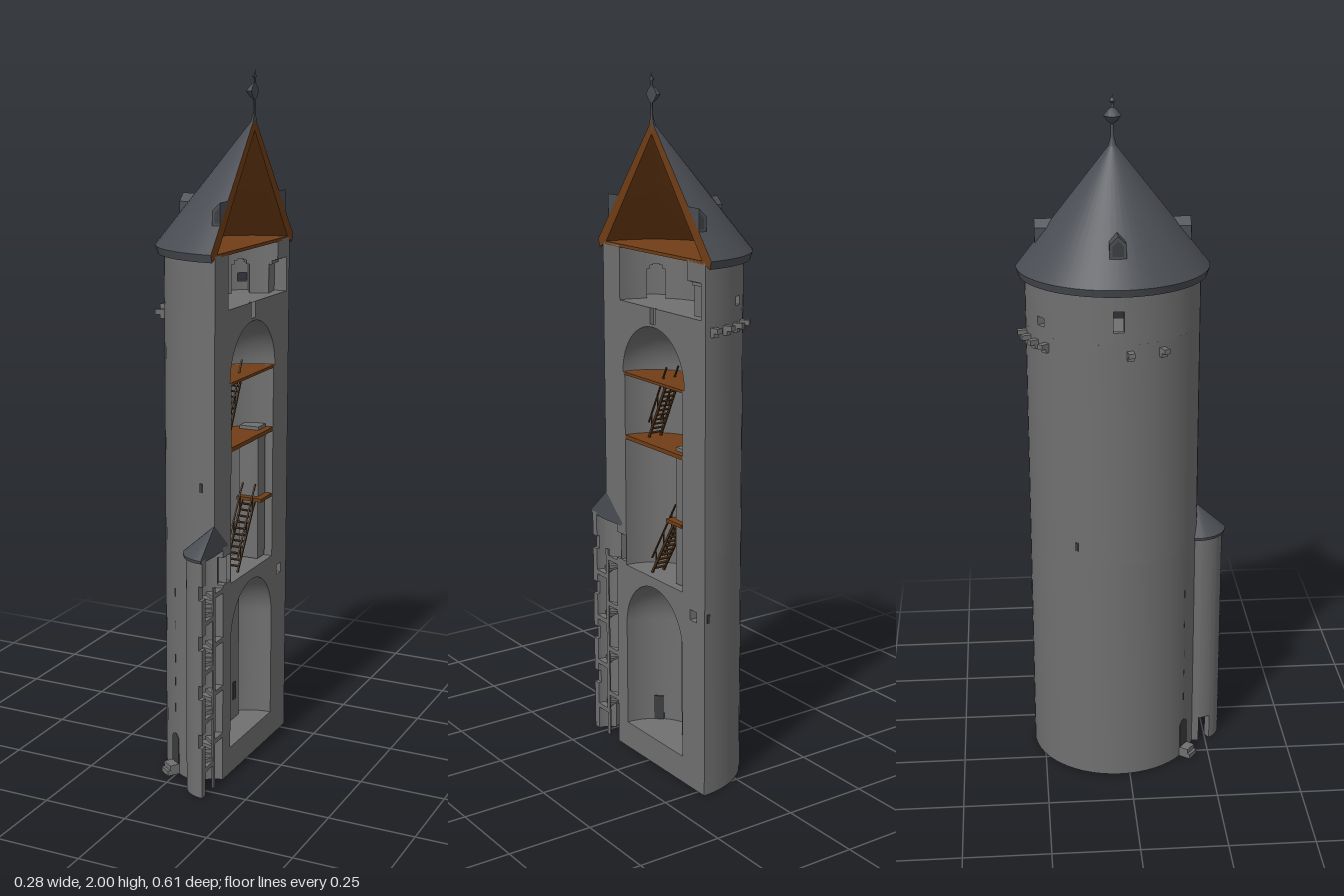
import * as THREE from 'three';
import { toCreasedNormals } from 'three/addons/utils/BufferGeometryUtils.js';

const mat = (color) => new THREE.MeshStandardMaterial({ color, side: THREE.DoubleSide });
const stone = mat(0x707070), slate = mat(0x4a4d53), wood = mat(0x703e16), darkWood = mat(0x4a3018), dark = mat(0x3c3d3f);
const PI = Math.PI, R = 0.25, rad = (d) => d * PI / 180;
const V = (x, y) => new THREE.Vector2(x, y);

export function createModel() {
  const model = new THREE.Group();
  model.name = 'cutawayTower';
  model.position.set(0.137, 0, -0.03); // tower axis lies on the cut plane

  const add = (name, geo, m, parent = model) => {
    const mesh = new THREE.Mesh(geo, m);
    mesh.name = name;
    parent.add(mesh);
    return mesh;
  };
  const box = (name, w, h, d, x, y, z, m = stone, parent = model) => {
    const b = add(name, new THREE.BoxGeometry(w, h, d), m, parent);
    b.position.set(x, y, z);
    return b;
  };
  // angle t runs from the front (+z) round through -x to the back
  const place = (o, t, r, y) => {
    o.position.set(-r * Math.sin(t), y, r * Math.cos(t));
    o.rotation.y = -t;
    return o;
  };
  const arc = (r, y0, h) => Array.from({ length: 17 }, (_, i) => {
    const a = i / 16 * PI / 2;
    return V(i === 16 ? 0 : r * Math.cos(a), y0 + h * Math.sin(a));
  });
  // half surface of revolution; profile upward faces out, downward faces in
  const half = (name, pts, m, parent = model, segs = 28) =>
    add(name, toCreasedNormals(new THREE.LatheGeometry(pts, segs, PI, PI * segs / 28), 0.5), m, parent);
  const mirrored = (pts) => [...pts, ...pts.slice().reverse().map((p) => V(-p.x, p.y))];
  const cutFace = (name, outer, holes, m, parent = model) => {
    const s = new THREE.Shape(outer);
    holes.forEach((h) => s.holes.push(new THREE.Path(h)));
    return add(name, new THREE.ShapeGeometry(s).rotateY(PI / 2), m, parent);
  };
  const halfSolid = (name, pts, m, parent = model) => {
    half(name, pts, m, parent);
    cutFace(name + 'Cut', mirrored(pts), [], m, parent);
  };
  const sector = (name, r0, r1, y0, y1, a0, a1, m, parent) => {
    const n = Math.max(1, Math.ceil((a1 - a0) / (PI / 28))), pts = [];
    const p = (r, a) => V(-r * Math.sin(a), -r * Math.cos(a));
    for (let i = 0; i <= n; i++) pts.push(p(r1, a0 + (a1 - a0) * i / n));
    if (r0 === 0) pts.push(V(0, 0));
    else for (let i = n; i >= 0; i--) pts.push(p(r0, a0 + (a1 - a0) * i / n));
    const g = new THREE.ExtrudeGeometry(new THREE.Shape(pts), { depth: y1 - y0, bevelEnabled: false });
    g.rotateX(-PI / 2).translate(0, y0, 0);
    return add(name, toCreasedNormals(g, 0.5), m, parent);
  };
  // curved half wall with columns of openings: [angle, halfAngle, [[y0, y1], ...]]
  const wall = (name, r0, r1, y0, y1, openings, parent) => {
    let a = 0;
    for (const [t, w, spans] of openings) {
      const s = Math.max(0, t - w), e = Math.min(PI, t + w);
      if (e - s < 0.001) continue;
      if (s > a + 0.001) sector(name, r0, r1, y0, y1, a, s, stone, parent);
      let y = y0;
      for (const [b, c] of spans) {
        if (b > y) sector(name + 'Sill', r0, r1, y, b, s, e, stone, parent);
        y = c;
      }
      if (y < y1) sector(name + 'Lintel', r0, r1, y, y1, s, e, stone, parent);
      a = e;
    }
    if (a < PI - 0.001) sector(name, r0, r1, y0, y1, a, PI, stone, parent);
  };
  // recess open towards the cut plane
  const recess = (name, d, h, w, y, z) => {
    const g = new THREE.BoxGeometry(d, h, w);
    g.setIndex(Array.from(g.index.array).slice(6));
    add(name, g, stone).position.set(-d / 2, y, z);
  };

  // main shaft (open underneath) and vaulted chambers
  const lower = [V(0, 0.08), V(0.143, 0.08), ...arc(0.143, 0.4, 0.15)];
  const upper = [V(0, 0.58), V(0.143, 0.58), V(0.143, 1.16), ...arc(0.152, 1.16, 0.152)];
  half('shaftBase', [V(R, 0), V(R, 0.7)], stone, model, 26);
  half('shaftUpper', [V(R, 0.7), V(R, 1.365), V(0, 1.365)], stone);
  half('lowerChamber', lower.slice().reverse(), stone);
  half('upperChamber', upper.slice().reverse(), stone);
  const rect = (x0, x1, y0, y1) => [V(x0, y0), V(x1, y0), V(x1, y1), V(x0, y1)];
  cutFace('shaftCut', [V(-0.172, 0), V(R, 0), V(R, 1.365), V(0.013, 1.365), V(0.013, 1.32),
    V(-0.013, 1.32), V(-0.013, 1.365), V(-R, 1.365), V(-R, 0.778), V(-0.163, 0.702), V(-0.172, 0.693)],
  [mirrored(lower), mirrored(upper), rect(-0.171, -0.145, 0.59, 0.67), rect(0.18, 0.21, 0.51, 0.54)], stone);
  recess('vaultHatch', 0.013, 0.055, 0.026, 1.338, 0);
  recess('stairPassage', 0.025, 0.08, 0.026, 0.63, 0.158);
  recess('wallSocket', 0.03, 0.03, 0.03, 0.525, -0.195);

  // watch room with arched niches and small outer slits
  const niches = [38, 90, 142, 180].map(rad).flatMap((t) => [-5, -3, -1, 1, 3, 5].map((k) =>
    [t + k * 0.027, 0.027, [[1.365, 1.43 + 0.035 * Math.sqrt(1 - k * k / 36)]]]));
  wall('watchRoomWall', 0.165, 0.23, 1.365, 1.52, niches);
  wall('watchRoomShell', 0.23, R, 1.365, 1.52,
    [[rad(90), 0.06, [[1.4, 1.46]]], [rad(147), 0.06, [[1.39, 1.415]]]]);

  // chamber fittings
  box('lowerShaft', 0.05, 0.44, 0.06, -0.105, 0.3, -0.055);
  box('shaftWindow', 0.004, 0.055, 0.018, -0.079, 0.17, -0.05, dark);
  box('lowerDoorway', 0.004, 0.075, 0.03, -0.09, 0.118, 0.108, dark).rotation.y = 0.85;
  box('upperShaft', 0.06, 0.4, 0.05, -0.05, 0.785, -0.108);
  sector('middleFloor', 0, 0.143, 0.963, 0.975, 0, PI, wood);
  sector('vaultFloor', 0, 0.15, 1.152, 1.16, 0, PI, wood);
  box('landing', 0.08, 0.01, 0.075, -0.04, 0.77, -0.1, wood);

  // open wooden stairs with handrails
  const stair = (z0, y0, z1, y1, x) => {
    const g = new THREE.Group();
    g.name = 'woodenStair';
    model.add(g);
    const dz = z1 - z0, dy = y1 - y0, len = Math.hypot(dz, dy);
    for (const s of [-1, 1]) for (const lift of [0, 0.045]) {
      const rail = box(lift ? 'handrail' : 'stringer', 0.004, lift ? 0.004 : 0.008, len,
        x + s * 0.02, (y0 + y1) / 2 + lift, (z0 + z1) / 2, darkWood, g);
      rail.rotation.x = Math.atan2(dy, -dz);
    }
    for (let i = 1; i < 12; i++) {
      box('tread', 0.04, 0.003, 0.012, x, y0 + dy * i / 12, z0 + dz * i / 12, darkWood, g);
      if (i % 4 === 2) for (const s of [-1, 1])
        box('baluster', 0.003, 0.045, 0.003, x + s * 0.02, y0 + dy * i / 12 + 0.022, z0 + dz * i / 12, darkWood, g);
    }
  };
  stair(0.045, 0.58, -0.075, 0.77, -0.045);
  stair(0.08, 0.975, -0.01, 1.15, -0.06);

  // conical roof with timber lining
  half('roofTiles', [V(0.268, 1.505), V(0.275, 1.527), V(0, 1.875)], slate);
  half('roofLining', [V(0, 1.838), V(0.235, 1.522), V(0.268, 1.505)], wood);
  cutFace('roofCut', [V(-0.268, 1.505), V(-0.275, 1.527), V(0, 1.875), V(0.275, 1.527), V(0.268, 1.505),
    V(0.235, 1.522), V(0, 1.838), V(-0.235, 1.522)], [], wood);
  sector('atticFloor', 0, 0.24, 1.515, 1.524, 0, PI, wood);

  // dormers: whole one at the side, halves on the cut plane
  for (const [t, lo, hi] of [[0, -1, 0], [PI / 2, -1, 1], [PI, 0, 1]]) {
    const gable = (w, y0, y1, yt) => {
      const p = [V(lo * w, y0), V(hi * w, y0), V(hi * w, hi ? y1 : yt)];
      if (lo && hi) p.push(V(0, yt));
      p.push(V(lo * w, lo ? y1 : yt));
      return new THREE.Shape(p);
    };
    const g = new THREE.ExtrudeGeometry(gable(0.023, 1.598, 1.638, 1.66), { depth: 0.085, bevelEnabled: false });
    // halves end at the roof slope so the attic stays clear
    const pos = g.attributes.position;
    if (!lo || !hi) for (let i = 0; i < pos.count; i++)
      if (pos.getZ(i) < 0.01) pos.setZ(i, (1.875 - pos.getY(i)) * 0.79 - 0.14);
    g.computeVertexNormals();
    place(add('dormer', g, slate), t, 0.135, 0);
    place(add('dormerOpening', new THREE.ShapeGeometry(gable(0.015, 1.605, 1.633, 1.648)), dark), t, 0.2215, 0);
  }

  // finial
  halfSolid('finial', [V(0, 1.84), V(0.012, 1.86), V(0.005, 1.885), V(0.004, 1.92), V(0.014, 1.928), V(0.025, 1.943),
    V(0.014, 1.957), V(0.004, 1.965), V(0.003, 1.976), V(0.009, 1.983), V(0.003, 1.99), V(0, 2)], slate);

  // corbels, slits, entrance and step
  for (const d of [61, 83, 141, 152, 163, 174]) {
    place(box('corbel', 0.018, 0.014, 0.036, 0, 0, 0), rad(d), 0.258, 1.34);
    place(box('corbelFoot', 0.018, 0.012, 0.02, 0, 0, 0), rad(d), 0.252, 1.327);
  }
  for (const [d, y] of [[10, 0.88], [119, 0.75], [177, 0.53]])
    place(box('slit', 0.01, 0.026, 0.006, 0, 0, 0, dark), rad(d), 0.2485, y);
  for (const y of [0.2, 0.28, 0.35, 0.45, 0.55])
    place(box('stairSlit', 0.003, 0.025, 0.005, 0, 0, 0, dark), rad(36), 0.248, y);
  const arch = new THREE.Shape();
  arch.moveTo(-0.02, 0.03).lineTo(0.02, 0.03).lineTo(0.02, 0.1).absarc(0, 0.1, 0.02, 0, PI, false);
  place(add('entrance', new THREE.ExtrudeGeometry(arch, { depth: 0.004, bevelEnabled: false }), dark), rad(36), 0.247, 0);
  place(box('entranceStep', 0.04, 0.03, 0.04, 0, 0, 0), rad(36), 0.258, 0.015);
  place(box('entranceStepLower', 0.04, 0.015, 0.05, 0, 0, 0), rad(36), 0.261, 0.0075);

  // stair turret with spiral stair
  const turret = new THREE.Group();
  turret.name = 'stairTurret';
  turret.position.z = 0.25;
  model.add(turret);
  const windows = [0.17, 0.315, 0.46, 0.605].map((y) => [y - 0.02, y + 0.02]);
  wall('turretWall', 0.056, 0.078, 0, 0.7,
    [[0, 0.15, windows], [rad(70), 0.24, [[0, 0.08]]], [PI, 0.3, [[0.59, 0.67]]]], turret);
  halfSolid('turretRoof', [V(0, 0.69), V(0.085, 0.693), V(0.087, 0.702), V(0, 0.778)], slate, turret);
  halfSolid('newel', [V(0, 0), V(0.007, 0), V(0.007, 0.6), V(0, 0.6)], stone, turret);
  const pitch = 0.145, steps = 7;
  for (let turn = 0; turn < 4; turn++) for (let i = 0; i < steps; i++) {
    const y = 0.07 + turn * pitch + (i / steps) * pitch / 2;
    sector('spiralStep', 0.006, 0.058, y, y + 0.014, PI * i / steps, PI * (i + 1) / steps, stone, turret);
  }

  const root = new THREE.Group();
  root.name = 'tower';
  root.add(model);
  return root;
}
